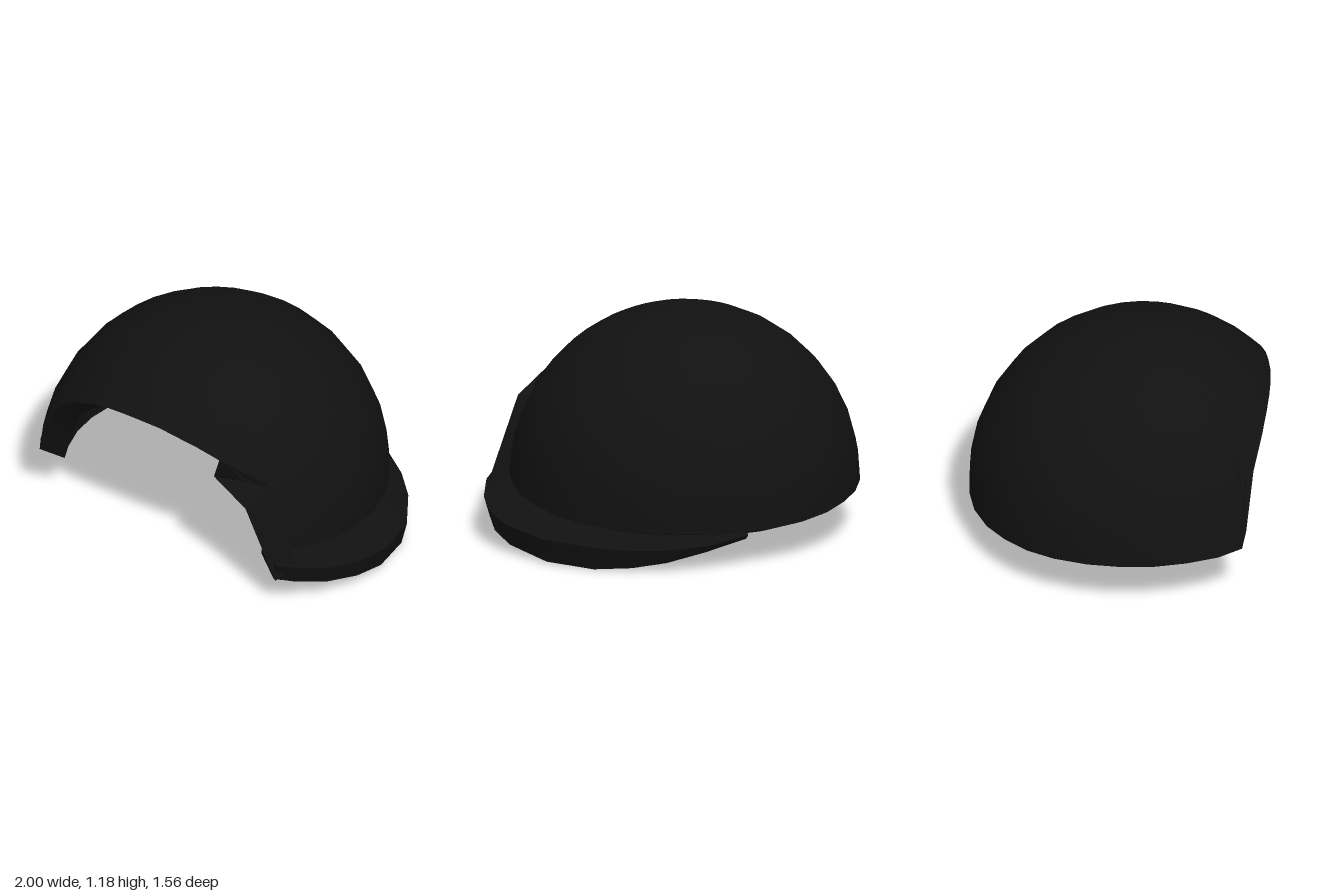
import * as THREE from 'three';
import { toCreasedNormals } from 'three/addons/utils/BufferGeometryUtils.js';

const CENTRE = new THREE.Vector3(-0.09, 0.27, 0.12);
const OUTER = 0.91, INNER = 0.78;
const material = new THREE.MeshStandardMaterial({ color: 0x111111, side: THREE.DoubleSide });

// Point at azimuth (degrees from +x toward the front), radius and height
function polar(az, r, y) {
  const a = THREE.MathUtils.degToRad(az);
  return new THREE.Vector3(CENTRE.x + r * Math.cos(a), y, CENTRE.z + r * Math.sin(a));
}

// Point on a sphere around the dome centre
function onSphere(az, radius, elevation) {
  return polar(az, radius * Math.cos(elevation), CENTRE.y + radius * Math.sin(elevation));
}

// Skin a list of cross-sections; closed sections get end caps
function loft(name, sections, closed, crease) {
  const pos = [];
  const tri = (a, b, c) => {
    const area = b.clone().sub(a).cross(c.clone().sub(a)).length();
    if (area > 1e-7) pos.push(...a, ...b, ...c);
  };
  const n = sections[0].length;
  for (let i = 0; i < sections.length - 1; i++) {
    const s = sections[i], t = sections[i + 1];
    for (let j = 0; j < (closed ? n : n - 1); j++) {
      const k = (j + 1) % n;
      tri(s[j], t[j], t[k]);
      tri(s[j], t[k], s[k]);
    }
  }
  if (closed) {
    const s = sections[0], e = sections[sections.length - 1];
    for (let j = 1; j < n - 1; j++) {
      tri(s[0], s[j], s[j + 1]);
      tri(e[0], e[j + 1], e[j]);
    }
  }
  const geo = new THREE.BufferGeometry();
  geo.setAttribute('position', new THREE.Float32BufferAttribute(pos, 3));
  const mesh = new THREE.Mesh(toCreasedNormals(geo, crease), material);
  mesh.name = name;
  return mesh;
}

// Thick dome: each section runs pole, outer skin, rim, inner skin, pole
function createDome() {
  // Azimuth and height of the lower edge: face opening, then bottom rim
  const edge = [
    [30, 0.29], [32, 0.34], [41, 0.67], [52, 0.79], [62, 0.845], [71, 0.875], [80, 0.895],
    [90, 0.9], [100, 0.895], [109, 0.88], [118, 0.85], [128, 0.79], [139, 0.67], [147, 0.39], [149, 0.3],
    [158, 0.29], [169, 0.29], [180, 0.285], [191, 0.28], [202, 0.27], [214, 0.255], [225, 0.24],
    [236, 0.23], [247, 0.215], [259, 0.205], [270, 0.2], [281, 0.2], [292, 0.2], [304, 0.2],
    [315, 0.2], [326, 0.205], [337, 0.21], [349, 0.22], [360, 0.235], [371, 0.25], [381, 0.27], [390, 0.29],
  ];
  const rows = 9;
  const sections = edge.map(([az, y]) => {
    const skin = (radius, low) => {
      const e = Math.asin((low - CENTRE.y) / radius);
      return Array.from({ length: rows + 1 }, (_, k) =>
        onSphere(az, radius, THREE.MathUtils.lerp(Math.PI / 2, e, k / rows)));
    };
    return [...skin(OUTER, y), ...skin(INNER, y - 0.05).reverse()];
  });
  return loft('dome', sections, false, 0.6);
}

// Crescent flange along the left side of the rim
function createFlange() {
  // azimuth, outer radius, bottom height, top outer height, top inner height
  const stations = [
    [-80, 0.91, 0.155, 0.18, 0.22], [-66, 0.92, 0.1, 0.14, 0.19], [-53, 0.95, 0.05, 0.125, 0.185],
    [-42, 0.977, 0.02, 0.12, 0.18], [-30, 1.01, 0, 0.125, 0.185], [-15, 1.065, 0.01, 0.135, 0.195],
    [0, 1.09, 0.045, 0.16, 0.22], [10, 1.087, 0.075, 0.185, 0.235], [20, 1.063, 0.105, 0.21, 0.255],
    [30, 1.03, 0.145, 0.25, 0.29], [36, 0.996, 0.165, 0.27, 0.3],
  ];
  const sections = stations.map(([az, r, bottom, topOut, topIn]) => [
    polar(az, 0.89, topIn),
    polar(az, r, topOut),
    polar(az, r - 0.03, bottom),
    polar(az, 0.77, bottom + 0.03),
    polar(az, 0.78, topIn + 0.03),
  ]);
  return loft('sideFlange', sections, true, 0.5);
}

// Raised frame along the left edge of the face opening, bottom to top
function createFrame() {
  const v = (x, y, z) => new THREE.Vector3(x, y, z);
  const sections = [
    [v(0.69, 0.25, 0.56), v(0.79, 0.26, 0.62), v(0.71, 0.166, 0.70), v(0.54, 0.2, 0.57)],
    [v(0.55, 0.68, 0.58), v(0.62, 0.68, 0.62), v(0.55, 0.58, 0.74), v(0.44, 0.6, 0.56)],
    [v(0.35, 0.8, 0.68), v(0.37, 0.79, 0.71), v(0.32, 0.67, 0.70), v(0.3, 0.74, 0.6)],
  ];
  return loft('faceFrame', sections, true, 0.4);
}

export function createModel() {
  const group = new THREE.Group();
  group.name = 'domedShell';
  group.add(createDome(), createFlange(), createFrame());
  return group;
}
